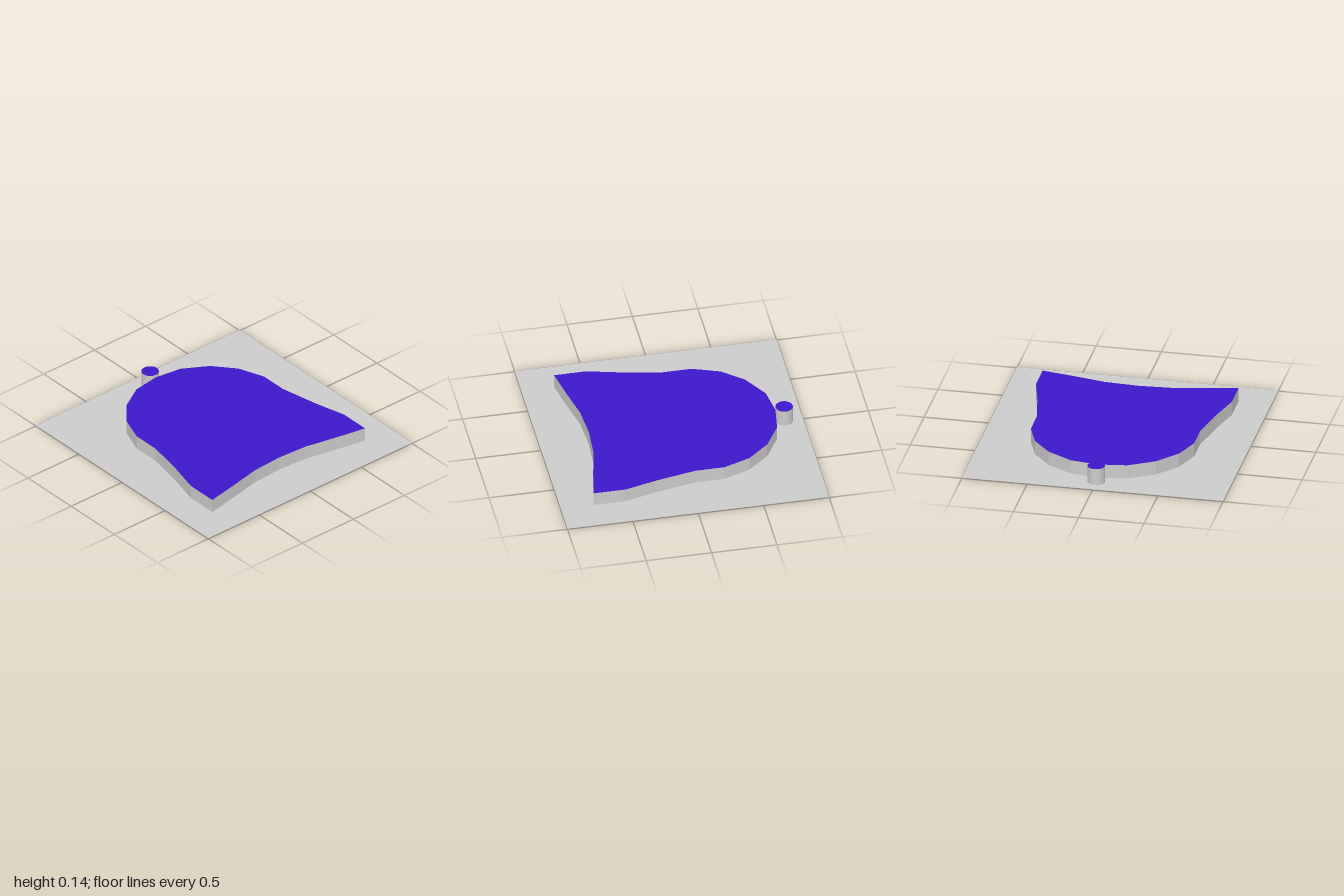
import * as THREE from 'three';

const BASE_Y = 0.006;
const TOP_Y = 0.115;

// Half outline from tail centre round to the nose tip, mirrored below
const half = [
  [0.635, 0], [0.65, 0.25], [0.705, 0.51], [0.75, 0.75], [0.505, 0.75], [0.25, 0.685],
  [-0.055, 0.625], [-0.275, 0.625], [-0.48, 0.55], [-0.645, 0.41], [-0.76, 0.215], [-0.79, 0],
];
const mirrored = half.slice(1, -1).reverse().map(([x, y]) => [x, -y]);
const outline = [...half, ...mirrored].map(([x, y]) => new THREE.Vector2(x, y));

// Upright walls standing on the outline, one flat quad per edge
function wallGeometry(points, y0, y1) {
  const pos = [];
  points.forEach((a, i) => {
    const b = points[(i + 1) % points.length];
    const a0 = [a.x, y0, -a.y], b0 = [b.x, y0, -b.y];
    const a1 = [a.x, y1, -a.y], b1 = [b.x, y1, -b.y];
    pos.push(...a0, ...b0, ...b1, ...a0, ...b1, ...a1);
  });
  const geo = new THREE.BufferGeometry();
  geo.setAttribute('position', new THREE.Float32BufferAttribute(pos, 3));
  geo.computeVertexNormals();
  return geo;
}

// Horizontal sheet cut from a shape
function sheet(shape, y) {
  return new THREE.ShapeGeometry(shape).rotateX(-Math.PI / 2).translate(0, y, 0);
}

export function createModel() {
  const group = new THREE.Group();
  const grey = new THREE.MeshStandardMaterial({ color: 0xcccccc, side: THREE.DoubleSide });
  const blue = new THREE.MeshStandardMaterial({ color: 0x3c17c8, side: THREE.DoubleSide });
  const add = (name, geo, mat) => {
    const mesh = new THREE.Mesh(geo, mat);
    mesh.name = name;
    group.add(mesh);
  };

  // Thin square ground sheet, open beneath the hollow body
  const square = new THREE.Shape([[-1, -1], [1, -1], [1, 1], [-1, 1]].map(([x, y]) => new THREE.Vector2(x, y)));
  square.holes.push(new THREE.Path(outline));
  add('groundSheet', sheet(square, BASE_Y), grey);

  // Hollow raised body: walls and coloured top
  add('bodyWalls', wallGeometry(outline, BASE_Y, TOP_Y), grey);
  add('bodyTop', sheet(new THREE.Shape(outline), TOP_Y), blue);

  // Small round post at the nose, open below
  const postX = -0.857, postR = 0.066, postH = 0.137;
  add('postWall', new THREE.CylinderGeometry(postR, postR, postH, 32, 1, true).translate(postX, postH / 2, 0), grey);
  add('postTop', new THREE.CircleGeometry(postR, 32).rotateX(-Math.PI / 2).translate(postX, postH, 0), blue);

  return group;
}
